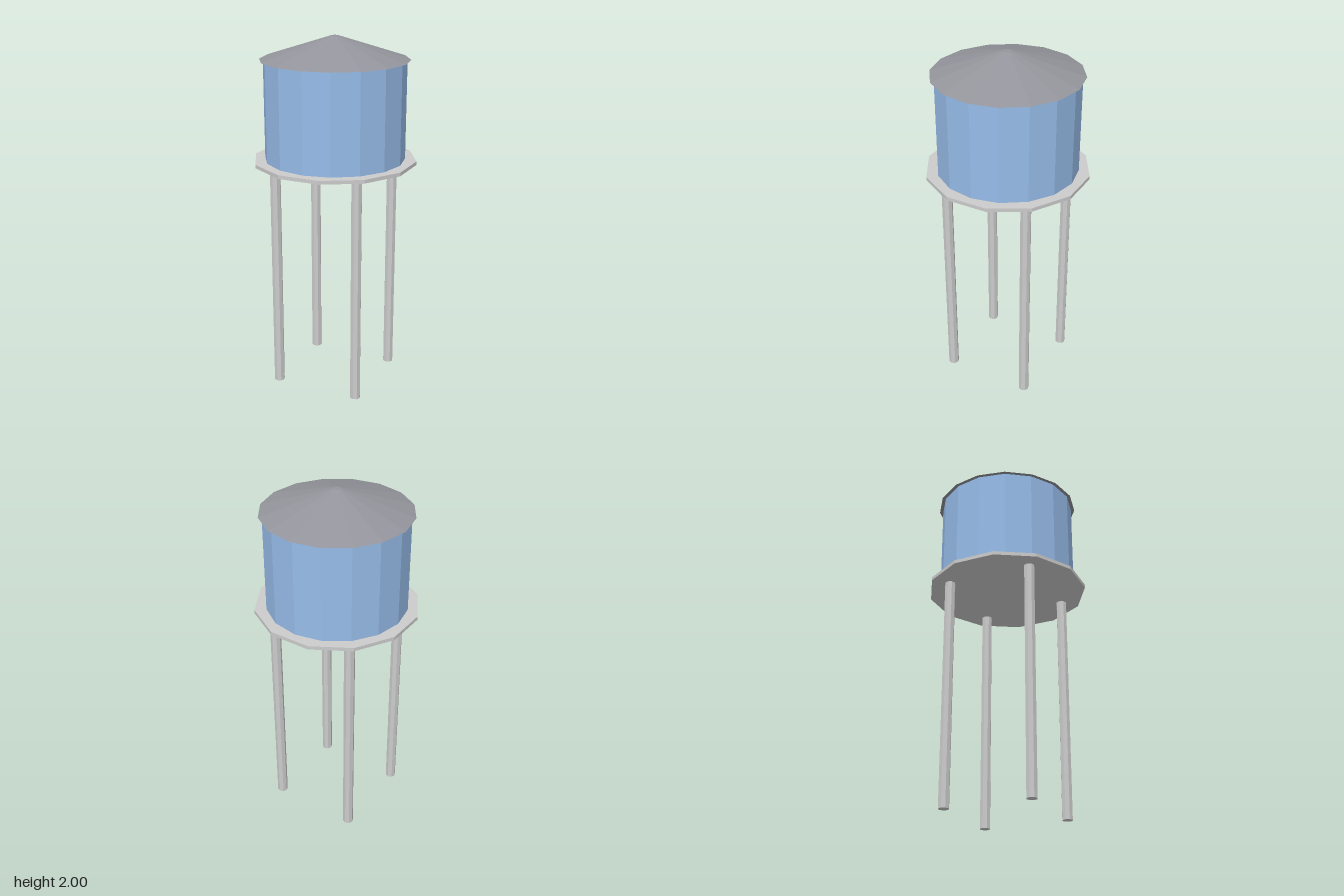
import * as THREE from 'three';

const material = (color) => new THREE.MeshStandardMaterial({ color, flatShading: true });

// Upright faceted drum spanning y0..y1
function drum(name, rTop, rBottom, y0, y1, sides, mat) {
  const mesh = new THREE.Mesh(new THREE.CylinderGeometry(rTop, rBottom, y1 - y0, sides), mat);
  mesh.name = name;
  mesh.position.y = (y0 + y1) / 2;
  return mesh;
}

export function createModel() {
  const model = new THREE.Group();
  model.name = 'waterTower';
  const grey = material(0xcccccc);
  const blue = material(0x97bce9);
  const slate = material(0x94959c);

  // Four legs, one on each axis
  for (let i = 0; i < 4; i++) {
    const angle = (i * Math.PI) / 2;
    const leg = drum(`leg${i + 1}`, 0.03, 0.03, 0, 1.308, 8, grey);
    leg.position.x = 0.346 * Math.sin(angle);
    leg.position.z = 0.346 * Math.cos(angle);
    model.add(leg);
  }

  // Twelve-sided platform, sixteen-sided tank and overhanging roof
  model.add(drum('platform', 0.455, 0.455, 1.306, 1.326, 12, grey));
  model.add(drum('tank', 0.39, 0.39, 1.326, 1.873, 16, blue));
  model.add(drum('roof', 0.02, 0.41, 1.873, 2, 16, slate));

  return model;
}
